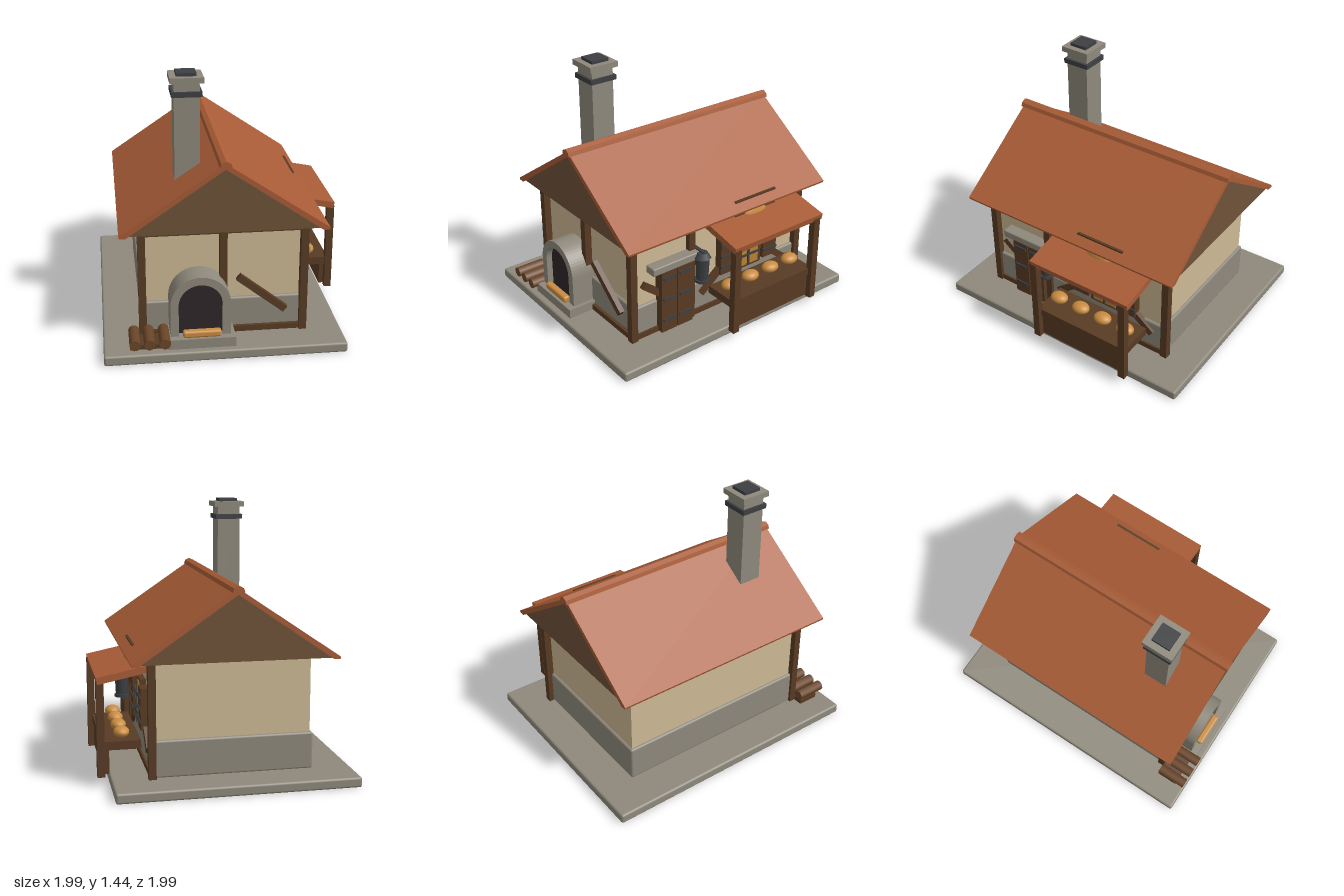
import * as THREE from 'three';
import { RoundedBoxGeometry } from 'three/addons/geometries/RoundedBoxGeometry.js';

const mat = (name, color) => {
  const m = new THREE.MeshStandardMaterial({ color });
  m.name = name;
  return m;
};

export function createModel() {
  const stone = mat('stone', 0x8f897c);
  const plaster = mat('plaster', 0xcdb995);
  const timber = mat('timber', 0x583b24);
  const gableWood = mat('gable wood', 0x6e5238);
  const tile = mat('roof tile', 0xa85c36);
  const iron = mat('iron', 0x3d3f42);
  const bread = mat('bread crust', 0xc98c40);
  const glow = mat('window glow', 0xb67f36);
  const soot = mat('soot', 0x2f2729);
  const logWood = mat('log wood', 0x6b4629);

  const root = new THREE.Group();
  root.name = 'bakery';
  const house = new THREE.Group();
  house.name = 'house';
  house.rotation.y = Math.PI / 4; // the house stands diagonally
  root.add(house);

  const add = (name, geo, m, x = 0, y = 0, z = 0) => {
    const mesh = new THREE.Mesh(geo, m);
    mesh.name = name;
    mesh.position.set(x, y, z);
    house.add(mesh);
    return mesh;
  };
  // box given by its min and max on each axis
  const box = (name, m, x0, x1, y0, y1, z0, z1) =>
    add(name, new THREE.BoxGeometry(x1 - x0, y1 - y0, z1 - z0), m, (x0 + x1) / 2, (y0 + y1) / 2, (z0 + z1) / 2);
  const post = (name, x, z, y0, y1, s = 0.04) =>
    box(name, timber, x - s / 2, x + s / 2, y0, y1, z - s / 2, z + s / 2);
  // extrude a profile drawn in (z, y) along x
  const extrudeX = (name, m, shape, x0, x1) => {
    const g = new THREE.ExtrudeGeometry(shape, { depth: x1 - x0, bevelEnabled: false, curveSegments: 14 });
    g.rotateY(-Math.PI / 2); // shape x -> z, depth -> -x
    return add(name, g, m, x1, 0, 0);
  };
  const poly = (pts) => new THREE.Shape(pts.map(([a, b]) => new THREE.Vector2(a, b)));

  // base and walls
  add('base', new RoundedBoxGeometry(1.556, 0.055, 1.272, 2, 0.012), stone, 0, 0.0275, 0);
  box('walls', plaster, -0.56, 0.56, 0.05, 0.68, -0.415, 0.415);
  add('stonePlinth', new RoundedBoxGeometry(1.15, 0.2, 0.86, 2, 0.012), stone, 0, 0.152, 0);

  // timber frame on the front and left end
  [[-0.583, 0.428], [-0.583, -0.425], [-0.583, 0], [-0.2, 0.428], [0.583, 0.428]].forEach(([x, z]) =>
    post('framePost', x, z, 0.055, 0.67));
  [[0.058, 0.09], [0.63, 0.66]].forEach(([y0, y1]) => {
    box('frontRail', timber, -0.583, 0.583, y0, y1, 0.413, 0.441);
    box('endRail', timber, -0.594, -0.566, y0, y1, -0.425, 0.428);
  });
  const brace = (x, z, slope, onEnd) => {
    const b = add('brace', new THREE.BoxGeometry(0.32, 0.038, 0.03), timber, x, 0.28, z);
    if (onEnd) b.rotation.y = -Math.PI / 2;
    b.rotateZ(slope);
  };
  brace(-0.59, 0.205, -0.67, true);
  brace(-0.39, 0.432, -0.67);
  brace(-0.005, 0.432, 0.67);
  brace(0.375, 0.432, -0.67);

  // roof: closed gable body, tile chevron and ridge cap
  extrudeX('gable', gableWood, poly([[-0.52, 0.665], [0.52, 0.665], [0, 1.018]]), -0.66, 0.66);
  extrudeX('roof', tile, poly([[-0.537, 0.66], [-0.505, 0.66], [0, 1.007], [0.505, 0.66],
    [0.537, 0.66], [0.54, 0.672], [0, 1.037], [-0.54, 0.672]]), -0.675, 0.675);
  extrudeX('ridgeCap', tile, poly([[-0.032, 1.018], [0.032, 1.018], [0.025, 1.04], [0, 1.052], [-0.025, 1.04]]), -0.685, 0.685);

  // chimney
  const chimney = (name, m, s, y0, y1) =>
    box(name, m, -0.375 - s / 2, -0.375 + s / 2, y0, y1, -0.17 - s / 2, -0.17 + s / 2);
  chimney('chimneyStack', stone, 0.132, 0.8, 1.4);
  chimney('chimneyBand', iron, 0.158, 1.318, 1.345);
  chimney('chimneyCap', stone, 0.173, 1.39, 1.42);
  chimney('chimneyFlue', iron, 0.104, 1.42, 1.437);

  // oven on the left end
  const arch = (r, y0) => {
    const s = new THREE.Shape();
    s.moveTo(-0.13 - r, y0);
    s.lineTo(-0.13 + r, y0);
    s.lineTo(-0.13 + r, 0.28);
    s.absarc(-0.13, 0.28, r, 0, Math.PI, false);
    s.closePath();
    return s;
  };
  const ring = arch(0.158, 0.1);
  ring.holes.push(arch(0.115, 0.101));
  extrudeX('ovenArch', stone, ring, -0.7, -0.56);
  extrudeX('ovenMouth', soot, arch(0.117, 0.1), -0.665, -0.56);
  box('ovenHearth', stone, -0.74, -0.56, 0.055, 0.108, -0.305, 0.05);
  add('ovenLoaf', new RoundedBoxGeometry(0.04, 0.038, 0.2, 2, 0.012), bread, -0.71, 0.127, -0.125);

  // firewood
  [-0.475, -0.4, -0.32].forEach((z) => {
    const log = add('firewood', new THREE.CylinderGeometry(0.029, 0.029, 0.17, 10), logWood, -0.685, 0.105, z);
    log.rotation.z = Math.PI / 2;
  });
  box('firewoodRest', timber, -0.72, -0.6, 0.055, 0.08, -0.5, -0.31);

  // door with strap hinges and stone lintel
  [-0.375, -0.268].forEach((x) => {
    box('doorLeaf', timber, x - 0.05, x + 0.05, 0.065, 0.445, 0.42, 0.475);
    [0.14, 0.27, 0.4].forEach((y) => box('doorStrap', iron, x - 0.04, x + 0.04, y - 0.009, y + 0.009, 0.474, 0.482));
  });
  add('doorLintel', new RoundedBoxGeometry(0.31, 0.046, 0.07, 2, 0.008), stone, -0.33, 0.465, 0.45);

  // lantern on a bracket
  add('lanternBody', new THREE.CylinderGeometry(0.04, 0.034, 0.14, 8), iron, -0.17, 0.39, 0.495);
  add('lanternCap', new THREE.CylinderGeometry(0.03, 0.049, 0.03, 8), iron, -0.17, 0.472, 0.495);
  add('lanternFoot', new THREE.CylinderGeometry(0.043, 0.043, 0.016, 8), iron, -0.17, 0.317, 0.495);
  box('lanternBracket', iron, -0.18, -0.16, 0.48, 0.495, 0.42, 0.51);

  // window with shutters
  box('windowFrame', timber, 0.1, 0.295, 0.24, 0.51, 0.41, 0.448);
  box('windowPane', glow, 0.122, 0.273, 0.255, 0.495, 0.446, 0.453);
  box('windowBarUpright', iron, 0.191, 0.204, 0.255, 0.495, 0.453, 0.46);
  [0.32, 0.42].forEach((y) => box('windowBar', iron, 0.122, 0.273, y - 0.006, y + 0.006, 0.453, 0.46));
  [0.042, 0.353].forEach((x) => {
    box('shutter', timber, x - 0.05, x + 0.05, 0.26, 0.485, 0.41, 0.46);
    [0.31, 0.375, 0.44].forEach((y) => box('shutterStrap', iron, x - 0.05, x + 0.05, y - 0.007, y + 0.007, 0.459, 0.467));
  });

  // hanging sign with a loaf
  box('signBoard', timber, 0.055, 0.345, 0.5, 0.712, 0.468, 0.495);
  add('signLoaf', new THREE.SphereGeometry(1, 18, 12), bread, 0.195, 0.595, 0.497).scale.set(0.083, 0.066, 0.025);

  // market stall
  [-0.093, 0.478].forEach((x) => post('stallPost', x, 0.68, 0.05, 0.56));
  box('stallFront', timber, -0.075, 0.465, 0.058, 0.212, 0.635, 0.668);
  box('stallCounter', timber, -0.1, 0.485, 0.19, 0.235, 0.47, 0.675);
  const awning = add('awning', new THREE.BoxGeometry(0.63, 0.036, 0.3), tile, 0.2, 0.592, 0.55);
  awning.rotation.x = 0.2;
  [-0.03, 0.118, 0.265, 0.412].forEach((x) =>
    add('loaf', new THREE.SphereGeometry(1, 16, 10), bread, x, 0.266, 0.565).scale.set(0.052, 0.03, 0.042));

  return root;
}
